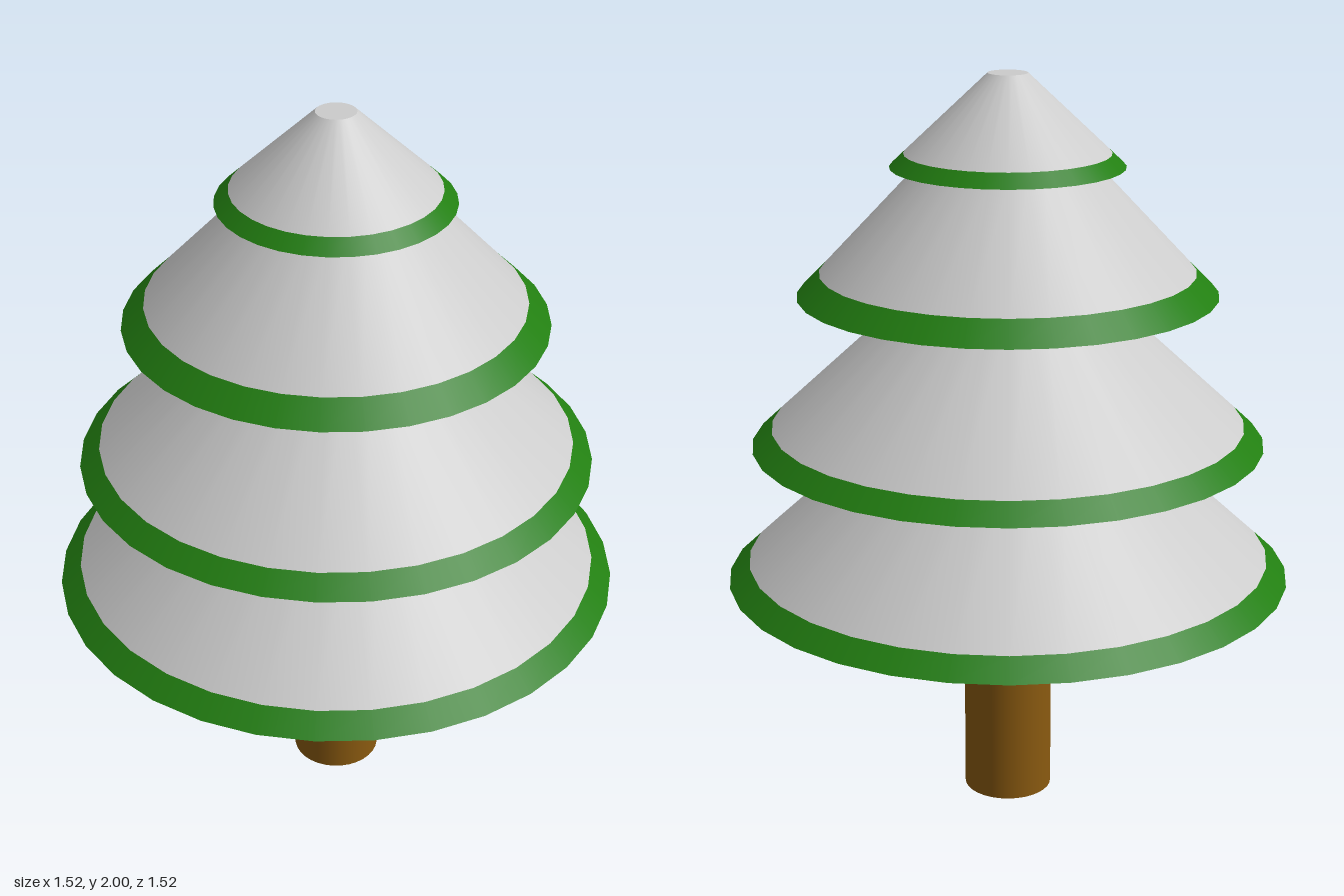
import * as THREE from 'three';

const SIDES = 32;
const green = new THREE.MeshStandardMaterial({ color: 0x227f11 });
const brown = new THREE.MeshStandardMaterial({ color: 0x8a5a10 });
const grey = new THREE.MeshStandardMaterial({ color: 0xcccccc });

// Truncated cone between two heights, smooth around its side
function frustum(name, rBottom, rTop, yBottom, yTop, material, open = false) {
  const geometry = new THREE.CylinderGeometry(rTop, rBottom, yTop - yBottom, SIDES, 1, open);
  const mesh = new THREE.Mesh(geometry, material);
  mesh.position.y = (yBottom + yTop) / 2;
  mesh.name = name;
  return mesh;
}

// Flat disc closing a tier from below (facing down) or above
function disc(name, radius, y, material, facing) {
  const mesh = new THREE.Mesh(new THREE.CircleGeometry(radius, SIDES), material);
  mesh.rotation.x = -facing * Math.PI / 2;
  mesh.position.y = y;
  mesh.name = name;
  return mesh;
}

export function createModel() {
  const tree = new THREE.Group();
  tree.name = 'snowyTree';

  tree.add(frustum('trunk', 0.12, 0.12, 0, 0.65, brown));

  // Each tier: rim radius and height, snow edge radius and height, top radius and height
  const tiers = [
    [0.76, 0.645, 0.705, 0.697, 0.355, 1.02],
    [0.685, 1.02, 0.632, 1.07, 0.25, 1.425],
    [0.555, 1.425, 0.495, 1.485, 0.235, 1.76],
    [0.307, 1.76, 0.27, 1.795, 0.052, 2.0],
  ];
  tiers.forEach(([rimR, rimY, snowR, snowY, topR, topY], i) => {
    const tier = new THREE.Group();
    tier.name = `tier${i + 1}`;
    tier.add(
      disc('underside', rimR, rimY, green, -1),
      frustum('needleRim', rimR, snowR, rimY, snowY, green, true),
      frustum('snowCover', snowR, topR, snowY, topY, grey, true),
    );
    // Flat tip on the highest tier
    if (i === tiers.length - 1) tier.add(disc('tip', topR, topY, grey, 1));
    tree.add(tier);
  });

  return tree;
}
